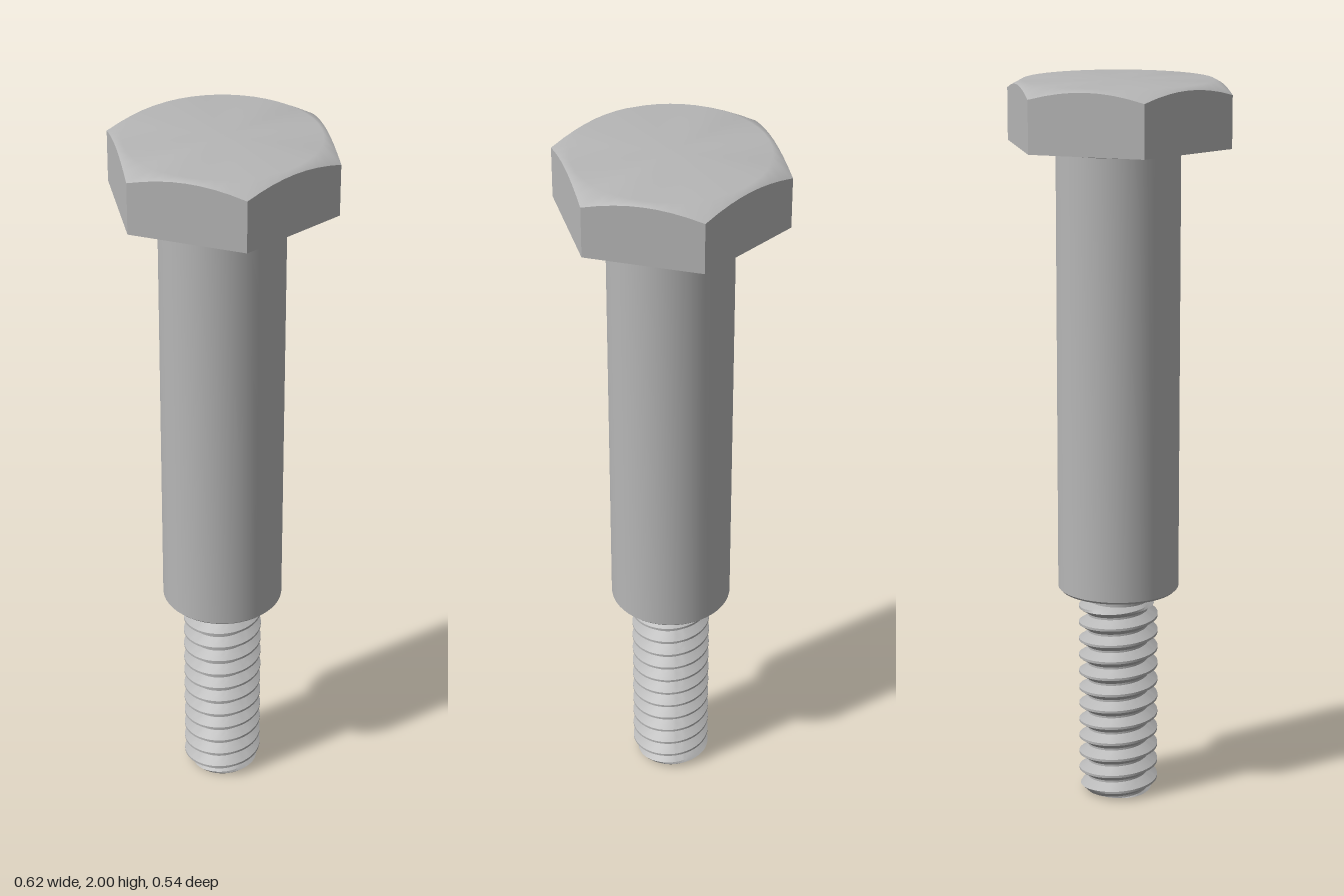
import * as THREE from 'three';
import { toCreasedNormals } from 'three/addons/utils/BufferGeometryUtils.js';

const SEG = 48;
const TAU = Math.PI * 2;

// Joins closed rings of points, each row given as t -> [radius, y]
function ringSurface(rows, seg = SEG) {
  const pos = [], index = [];
  rows.forEach((row, i) => {
    for (let j = 0; j < seg; j++) {
      const t = (j / seg) * TAU;
      const [r, y] = row(t);
      pos.push(r * Math.sin(t), y, r * Math.cos(t));
      if (i === rows.length - 1) continue;
      const a = i * seg + j, b = i * seg + (j + 1) % seg;
      index.push(a, b, b + seg, a, b + seg, a + seg);
    }
  });
  const geo = new THREE.BufferGeometry();
  geo.setAttribute('position', new THREE.Float32BufferAttribute(pos, 3));
  geo.setIndex(index);
  geo.computeVertexNormals();
  return geo;
}

// Hexagon radius at an angle, with flats facing front and back
const hexRadius = (t) => {
  const step = Math.PI / 3;
  return 0.2706 / Math.cos(t - Math.round(t / step) * step);
};

export function createModel() {
  const model = new THREE.Group();
  const steel = new THREE.MeshStandardMaterial({ color: 0xb6b6b6 });
  steel.name = 'steel';
  const add = (name, geo) => {
    const mesh = new THREE.Mesh(geo, steel);
    mesh.name = name;
    model.add(mesh);
  };

  // Hexagonal head: smooth chamfered top, flat sides, filleted underside
  const topEdge = (t) => {
    const r = hexRadius(t);
    return [r, 2 - (r - 0.255) * 0.55];
  };
  const bottomEdge = (t) => [hexRadius(t), 1.828];
  const ring = (r, y) => () => [r, y];
  add('headTop', ringSurface([topEdge, ring(0.255, 2), ring(0, 2)]));
  add('headSides', toCreasedNormals(ringSurface([bottomEdge, topEdge]), 0.5));
  add('headUnderside', ringSurface([ring(0.167, 1.812), ring(0.173, 1.822), ring(0.185, 1.828), bottomEdge]));

  // Plain shoulder with a small bottom chamfer, and the neck below it
  const shoulder = [[0.086, 0.597], [0.16, 0.597], [0.167, 0.604], [0.167, 1.815]]
    .map((p) => new THREE.Vector2(...p));
  add('shoulder', toCreasedNormals(new THREE.LatheGeometry(shoulder, SEG), 0.5));
  const neck = new THREE.CylinderGeometry(0.086, 0.086, 0.05, SEG, 1, true);
  neck.translate(0, 0.575, 0);
  add('neck', neck);

  // Right-handed helical thread with tapered ends
  const pitch = 0.048, root = 0.084, crest = 0.11, top = 0.565;
  const threadRadius = (y, t) => {
    const u = y / pitch - t / TAU;
    const d = Math.abs(u - Math.round(u)); // 0 at the crest, 0.5 at the root
    const k = THREE.MathUtils.clamp((0.44 - d) / 0.37, 0, 1);
    const r = root + (crest - root) * k;
    return Math.min(r, 0.088 + y, root + (top - y) * 1.7);
  };
  const phases = [-0.44, -0.32, -0.2, -0.07, 0.07, 0.2, 0.32, 0.44];
  const steps = 64;
  const pos = [];
  const point = (v, t) => {
    const y = THREE.MathUtils.clamp((v + t / TAU) * pitch, 0, top);
    const r = threadRadius(y, t);
    return [r * Math.sin(t), y, r * Math.cos(t)];
  };
  const levels = [];
  for (let n = -2; n <= Math.ceil(top / pitch) + 1; n++) {
    for (const p of phases) levels.push(n + p);
  }
  for (let i = 0; i < levels.length - 1; i++) {
    for (let j = 0; j < steps; j++) {
      const t0 = (j / steps) * TAU, t1 = ((j + 1) / steps) * TAU;
      const a = point(levels[i], t0), b = point(levels[i], t1);
      const c = point(levels[i + 1], t1), d = point(levels[i + 1], t0);
      // Skip strips squeezed flat at either end
      if (c[1] - b[1] + d[1] - a[1] < 1e-6) continue;
      pos.push(...a, ...b, ...c, ...a, ...c, ...d);
    }
  }
  const thread = new THREE.BufferGeometry();
  thread.setAttribute('position', new THREE.Float32BufferAttribute(pos, 3));
  add('thread', toCreasedNormals(thread, 0.5));

  // Flat tip
  const tip = new THREE.CircleGeometry(0.088, SEG);
  tip.rotateX(Math.PI / 2);
  add('tip', tip);

  return model;
}
